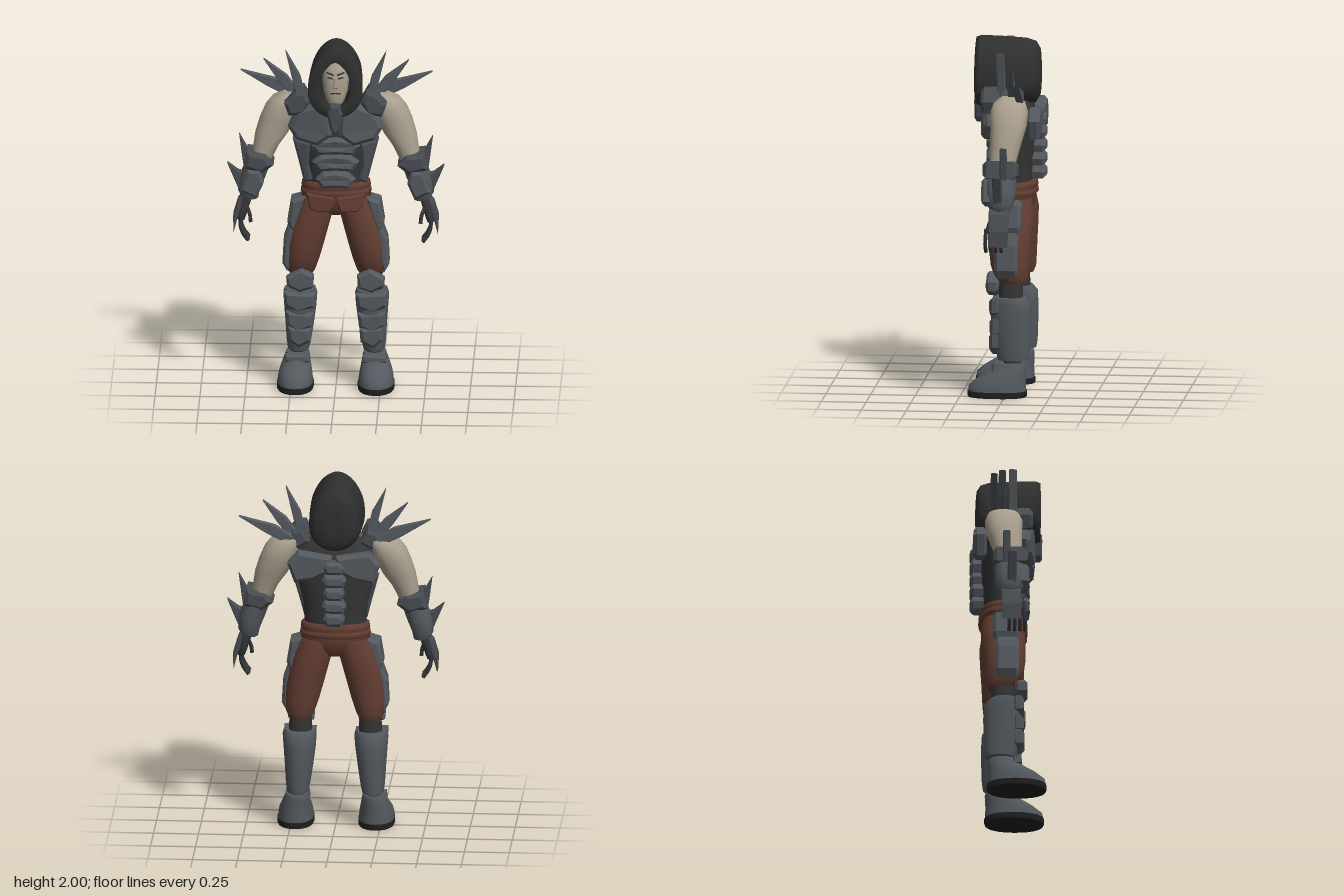
import * as THREE from 'three';

const mat = (name, color, side = THREE.FrontSide) => {
  const m = new THREE.MeshStandardMaterial({ color, side });
  m.name = name;
  return m;
};
const M = {
  armour: mat('armour grey', 0x53595e),
  plate: mat('dark plate grey', 0x474c51),
  body: mat('charcoal cloth', 0x353535),
  hood: mat('hood black', 0x2f2f2f),
  skin: mat('pale skin', 0xa89e8d),
  pants: mat('brown leather', 0x623d31),
  sole: mat('sole black', 0x202020),
  glove: mat('glove dark', 0x33363a),
  face: mat('face marking', 0x3a332e),
};

// Skin through closed rings; rings run counter-clockwise seen from the last ring
function loft(rings) {
  const n = rings[0].length, pos = [], idx = [];
  rings.forEach(r => r.forEach(p => pos.push(p.x, p.y, p.z)));
  for (let i = 0; i < rings.length - 1; i++)
    for (let j = 0; j < n; j++) {
      const k = (j + 1) % n, a = i * n + j, b = i * n + k, c = b + n, d = a + n;
      idx.push(a, b, d, b, c, d);
    }
  [[rings[0], true], [rings[rings.length - 1], false]].forEach(([r, flip]) => {
    const base = pos.length / 3, mid = new THREE.Vector3();
    r.forEach(p => { pos.push(p.x, p.y, p.z); mid.addScaledVector(p, 1 / n); });
    pos.push(mid.x, mid.y, mid.z);
    for (let j = 0; j < n; j++) {
      const a = base + j, b = base + (j + 1) % n;
      flip ? idx.push(b, a, base + n) : idx.push(a, b, base + n);
    }
  });
  const g = new THREE.BufferGeometry();
  g.setAttribute('position', new THREE.Float32BufferAttribute(pos, 3));
  g.setIndex(idx);
  g.computeVertexNormals();
  return g;
}

// Stack of rounded sections [y, cx, cz, rx, rz], bottom first
function stack(rows, n = 24, square = 0.9) {
  const curve = v => Math.sign(v) * Math.abs(v) ** square;
  return loft(rows.map(([y, cx, cz, rx, rz]) => Array.from({ length: n }, (_, i) => {
    const t = i / n * Math.PI * 2;
    return new THREE.Vector3(cx + rx * curve(Math.cos(t)), y, cz - rz * curve(Math.sin(t)));
  })));
}

// Bevelled slab from an x,y outline between two depths, optionally bent round the body
function slab(pts, z0, z1, b = 0.01, bend = 0) {
  const shape = new THREE.Shape(pts.map(p => new THREE.Vector2(...p)));
  let g = new THREE.ExtrudeGeometry(shape, {
    depth: z1 - z0 - 2 * b, bevelEnabled: b > 0, bevelThickness: b, bevelSize: b, bevelOffset: -b, bevelSegments: 1,
  }).translate(0, 0, z0 + b);
  const p = g.attributes.position;
  for (let i = 0; i < p.count; i++) p.setZ(i, p.getZ(i) - bend * p.getX(i) ** 2);
  g.computeVertexNormals();
  return g;
}
const mirrorPts = half => [...half, ...half.filter(p => p[0] > 0).reverse().map(([x, y]) => [-x, y])];

// Mirror across x with the corner order restored
function mirrored(geo) {
  const g = geo.index ? geo.toNonIndexed() : geo.clone();
  g.scale(-1, 1, 1);
  for (const a of Object.values(g.attributes)) {
    const s = a.itemSize, v = a.array;
    for (let t = 0; t < a.count; t += 3)
      for (let c = 0; c < s; c++) {
        const i = (t + 1) * s + c, j = (t + 2) * s + c, tmp = v[i];
        v[i] = v[j]; v[j] = tmp;
      }
  }
  return g;
}

export function createModel() {
  const root = new THREE.Group();
  root.name = 'hoodedWarrior';
  const add = (name, geo, m) => {
    const mesh = new THREE.Mesh(geo, m);
    mesh.name = name;
    root.add(mesh);
  };
  const pair = (name, geo, m) => {
    add(name + 'Left', geo, m);
    add(name + 'Right', mirrored(geo), m);
  };

  // Torso
  add('torso', stack([[1.16, 0, -0.03, 0.17, 0.105], [1.3, 0, -0.03, 0.18, 0.11], [1.42, 0, -0.03, 0.21, 0.12],
    [1.54, 0, -0.03, 0.235, 0.12], [1.62, 0, -0.03, 0.22, 0.11], [1.68, 0, -0.02, 0.12, 0.08]]), M.body);
  pair('chestPlate', slab([[0.265, 1.53], [0.22, 1.63], [0.12, 1.67], [0.025, 1.62], [0.02, 1.49], [0.1, 1.43], [0.22, 1.46]],
    0.06, 0.155, 0.022, 0.6), M.armour);
  pair('ribPlate', slab([[0.24, 1.45], [0.14, 1.43], [0.15, 1.3], [0.13, 1.22], [0.175, 1.2], [0.2, 1.3]], 0.03, 0.115, 0.012, 1), M.plate);
  [[1.42, 0.135], [1.325, 0.13], [1.225, 0.11]].forEach(([y, w], i) => add('abdomenPlate' + (i + 1), slab(
    mirrorPts([[0, y - 0.045], [w * 0.7, y - 0.052], [w, y], [w * 0.65, y + 0.04], [0, y + 0.05]]), 0.05, 0.125, 0.018, 0.8), M.armour));
  add('collarPoint', slab(mirrorPts([[0, 1.51], [0.025, 1.54], [0.045, 1.63], [0.025, 1.68], [0, 1.68]]), 0.12, 0.193, 0.012), M.plate);

  // Back plates and spine
  pair('shoulderBladePlate', slab([[0.01, 1.6], [0.2, 1.63], [0.26, 1.56], [0.22, 1.45], [0.11, 1.47], [0.01, 1.52]], -0.195, -0.12, 0.018), M.armour);
  for (let i = 0; i < 5; i++) {
    const y = 1.24 + i * 0.075, w = 0.06 + (i % 2) * 0.008;
    add('spinePlate' + (i + 1), slab(mirrorPts([[0, y - 0.04], [w * 0.75, y - 0.038], [w, y], [w * 0.75, y + 0.034], [0, y + 0.034]]),
      -0.21, -0.11, 0.018), M.armour);
  }

  // Hood: front-facing sections swept from the back, turning in at the rim
  const outline = mirrorPts([[0, 1.6], [0.085, 1.625], [0.14, 1.69], [0.152, 1.77], [0.135, 1.87], [0.075, 1.965], [0, 2.0]]);
  const opening = mirrorPts([[0, 1.655], [0.045, 1.675], [0.073, 1.72], [0.084, 1.78], [0.076, 1.84], [0.045, 1.895], [0, 1.925]]);
  const hoodRing = (pts, z, s = 1) => new THREE.CatmullRomCurve3(
    pts.map(([x, y]) => new THREE.Vector3(x * s, 1.8 + (y - 1.8) * s, z)), true).getPoints(48).slice(0, 48);
  add('hood', loft([hoodRing(outline, -0.178, 0.35), hoodRing(outline, -0.172, 0.68), hoodRing(outline, -0.15, 0.86),
    hoodRing(outline, -0.1, 0.94), hoodRing(outline, 0.02, 0.98), hoodRing(outline, 0.155), hoodRing(outline, 0.182, 0.95),
    hoodRing(opening, 0.182, 1.06), hoodRing(opening, 0.165), hoodRing(opening, 0.02)]), M.hood);

  // Head and face
  add('head', stack([[1.655, 0, 0.085, 0.03, 0.03], [1.69, 0, 0.075, 0.052, 0.053], [1.74, 0, 0.06, 0.068, 0.068],
    [1.81, 0, 0.055, 0.075, 0.075], [1.88, 0, 0.05, 0.066, 0.07], [1.92, 0, 0.04, 0.035, 0.04]]), M.skin);
  add('nose', slab(mirrorPts([[0, 1.765], [0.016, 1.77], [0.007, 1.83], [0, 1.835]]), 0.1, 0.15, 0.006), M.skin);
  add('mouth', slab(mirrorPts([[0, 1.733], [0.028, 1.73], [0.028, 1.736], [0, 1.739]]), 0.124, 0.132, 0, 4), M.face);
  pair('eye', slab([[0.016, 1.818], [0.044, 1.822], [0.044, 1.828], [0.016, 1.826]], 0.126, 0.135, 0, 6), M.face);
  pair('brow', slab([[0.01, 1.838], [0.05, 1.85], [0.05, 1.857], [0.01, 1.846]], 0.126, 0.135, 0, 6), M.face);

  // Shoulder pads with three flat spikes each
  pair('shoulderPad', slab([[0.14, 1.68], [0.17, 1.74], [0.22, 1.74], [0.285, 1.67], [0.26, 1.6], [0.18, 1.61]], 0.03, 0.135, 0.018), M.plate);
  pair('shoulderPadRear', slab([[0.14, 1.66], [0.18, 1.73], [0.23, 1.72], [0.28, 1.66], [0.24, 1.6]], -0.1, 0.03, 0.015), M.plate);
  [[[0.17, 1.69], [0.2, 1.81], [0.28, 1.95], [0.24, 1.78], [0.22, 1.69], 0.0, 0.045],
    [[0.2, 1.69], [0.275, 1.79], [0.405, 1.885], [0.325, 1.765], [0.25, 1.67], -0.06, -0.02],
    [[0.23, 1.69], [0.33, 1.755], [0.535, 1.805], [0.38, 1.71], [0.26, 1.65], -0.108, -0.07],
  ].forEach((s, i) => pair('shoulderSpike' + (i + 1), slab(s.slice(0, 5), s[5], s[6], 0.004), M.armour));

  // Bare arms
  pair('arm', stack([[1.24, 0.45, 0, 0.05, 0.06], [1.33, 0.41, -0.005, 0.06, 0.07], [1.4, 0.388, -0.01, 0.072, 0.082],
    [1.47, 0.357, -0.02, 0.092, 0.09], [1.55, 0.325, -0.03, 0.1, 0.102], [1.62, 0.295, -0.03, 0.1, 0.105],
    [1.67, 0.27, -0.03, 0.085, 0.088], [1.7, 0.25, -0.03, 0.04, 0.045]]), M.skin);

  // Bracers with cuff, face plate and two blades
  pair('bracer', stack([[1.09, 0.478, 0, 0.045, 0.055], [1.13, 0.485, 0, 0.06, 0.075], [1.21, 0.466, 0, 0.073, 0.088],
    [1.31, 0.43, 0, 0.072, 0.088]], 14), M.armour);
  pair('bracerCuff', slab([[0.515, 1.28], [0.495, 1.375], [0.39, 1.36], [0.345, 1.3], [0.41, 1.25]], -0.095, 0.1, 0.022), M.plate);
  pair('bracerPlate', slab([[0.53, 1.15], [0.44, 1.11], [0.4, 1.2], [0.42, 1.27], [0.49, 1.27]], 0.04, 0.106, 0.015), M.armour);
  pair('upperBlade', slab([[0.475, 1.3], [0.515, 1.27], [0.525, 1.34], [0.54, 1.455], [0.495, 1.375]], -0.04, 0.0, 0.005), M.plate);
  pair('lowerBlade', slab([[0.5, 1.24], [0.54, 1.14], [0.565, 1.2], [0.605, 1.295], [0.545, 1.25]], -0.015, 0.035, 0.006), M.plate);

  // Gloved hands with curved fingers and an outer blade guard
  pair('palm', stack([[0.97, 0.527, 0.025, 0.02, 0.045], [1.0, 0.522, 0.02, 0.026, 0.055], [1.06, 0.507, 0.01, 0.03, 0.048],
    [1.13, 0.488, 0, 0.035, 0.04]], 12), M.glove);
  pair('handGuard', slab([[0.515, 1.11], [0.545, 1.08], [0.572, 0.99], [0.568, 0.9], [0.55, 0.97], [0.53, 1.03]], -0.05, 0.06, 0.006), M.plate);
  const digit = (...pts) => new THREE.TubeGeometry(new THREE.CatmullRomCurve3(pts.map(p => new THREE.Vector3(...p))), 8, 0.011, 7);
  [-0.012, 0.018, 0.047, 0.074].forEach((z, i) => pair('finger' + (i + 1),
    digit([0.527, 1.0, z], [0.528, 0.94, z + 0.005], [0.51, 0.895, z + 0.008], [0.485, 0.862, z + 0.006]), M.glove));
  pair('thumb', digit([0.5, 1.06, 0.04], [0.478, 1.01, 0.065], [0.472, 0.965, 0.075]), M.glove);

  // Trousers, belt and flaps
  add('hips', stack([[1.0, 0, -0.03, 0.05, 0.07], [1.04, 0, -0.03, 0.15, 0.105], [1.1, 0, -0.03, 0.195, 0.12], [1.15, 0, -0.03, 0.185, 0.118]]), M.pants);
  pair('trouserLeg', stack([[0.635, 0.195, -0.045, 0.06, 0.07], [0.67, 0.195, -0.035, 0.08, 0.095], [0.74, 0.188, -0.025, 0.097, 0.11],
    [0.83, 0.172, -0.022, 0.106, 0.118], [0.92, 0.15, -0.025, 0.108, 0.122], [1.02, 0.122, -0.03, 0.107, 0.123], [1.1, 0.1, -0.03, 0.095, 0.11]]), M.pants);
  add('waistband', stack([[1.115, 0, -0.033, 0.185, 0.12], [1.125, 0, -0.033, 0.198, 0.13], [1.145, 0, -0.033, 0.195, 0.128], [1.152, 0, -0.033, 0.182, 0.118],
    [1.16, 0, -0.033, 0.194, 0.128], [1.185, 0, -0.033, 0.19, 0.125], [1.195, 0, -0.033, 0.175, 0.115]], 28), M.pants);
  pair('beltFlap', slab([[0.005, 1.09], [0.01, 1.12], [0.16, 1.135], [0.15, 1.06], [0.12, 1.035], [0.03, 1.035]], 0.06, 0.112, 0.008, 1), M.pants);

  // Thigh guards
  pair('upperThighGuard', slab([[0.165, 1.11], [0.25, 1.085], [0.27, 0.96], [0.25, 0.9], [0.22, 0.92]], -0.09, 0.06, 0.018), M.armour);
  pair('lowerThighGuard', slab([[0.22, 0.92], [0.265, 0.93], [0.29, 0.86], [0.298, 0.72], [0.27, 0.67], [0.24, 0.75]], -0.075, 0.055, 0.016), M.armour);

  // Lower legs
  pair('calf', stack([[0.13, 0.215, -0.04, 0.045, 0.05], [0.25, 0.21, -0.04, 0.042, 0.05], [0.55, 0.195, -0.03, 0.065, 0.068], [0.68, 0.195, -0.03, 0.06, 0.065]], 16), M.body);
  pair('kneePlate', slab([[0.12, 0.66], [0.19, 0.7], [0.275, 0.65], [0.27, 0.6], [0.2, 0.565], [0.125, 0.59]], 0.035, 0.105, 0.015), M.armour);
  pair('shinGuard', stack([[0.205, 0.21, -0.045, 0.06, 0.085], [0.25, 0.208, -0.042, 0.068, 0.095], [0.36, 0.203, -0.033, 0.08, 0.108],
    [0.46, 0.2, -0.03, 0.09, 0.112], [0.53, 0.2, -0.03, 0.095, 0.108], [0.56, 0.2, -0.02, 0.088, 0.09]], 18), M.armour);
  [[0.5, 0.09, 0.085], [0.385, 0.078, 0.084], [0.3, 0.068, 0.088]].forEach(([y, w, z], i) => pair('shinPlate' + (i + 1), slab(
    [[0.2 - w, y + 0.05], [0.2 + w, y + 0.06], [0.2 + w * 0.95, y - 0.02], [0.21, y - 0.065], [0.2 - w * 0.9, y - 0.03]], 0.02, z, 0.018), M.armour));

  // Boots
  pair('boot', stack([[0.03, 0.225, 0.044, 0.1, 0.163], [0.065, 0.225, 0.043, 0.097, 0.16], [0.1, 0.224, 0.022, 0.09, 0.138],
    [0.14, 0.22, -0.012, 0.078, 0.106], [0.17, 0.216, -0.03, 0.069, 0.09], [0.19, 0.215, -0.03, 0.063, 0.085]]), M.armour);
  pair('bootStrap', slab([[0.15, 0.19], [0.28, 0.19], [0.285, 0.15], [0.215, 0.125], [0.145, 0.15]], 0.02, 0.072, 0.012), M.armour);
  pair('sole', stack([[0, 0.225, 0.044, 0.1, 0.163], [0.008, 0.225, 0.044, 0.103, 0.167], [0.034, 0.225, 0.044, 0.103, 0.167]]), M.sole);

  return root;
}
